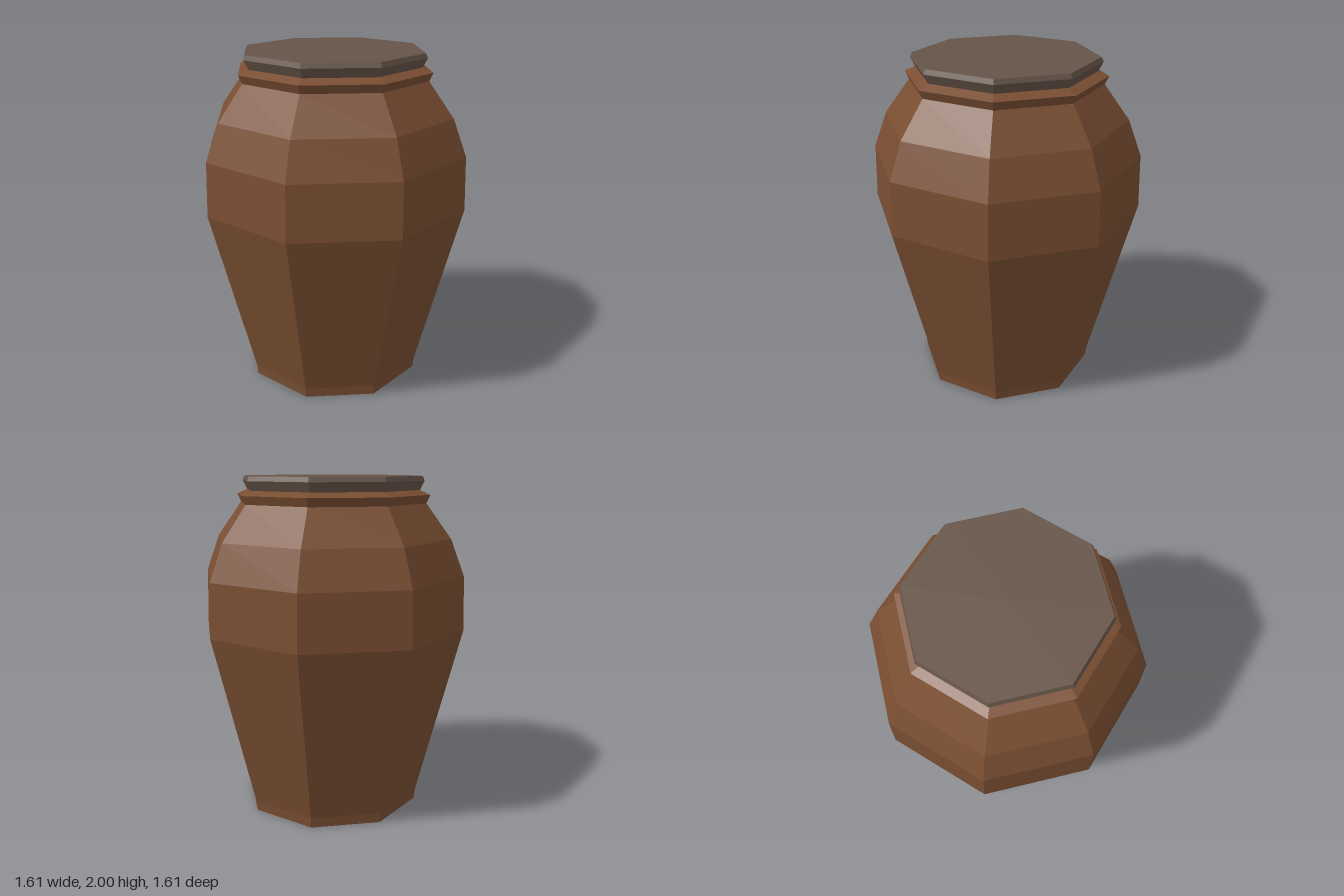
import * as THREE from 'three';

const SIDES = 8;

export function createModel() {
  const clay = new THREE.MeshStandardMaterial({ color: 0x7a4e32, flatShading: true });
  clay.name = 'brown clay';
  const stone = new THREE.MeshStandardMaterial({ color: 0x665448, flatShading: true });
  stone.name = 'grey lid';

  const jar = new THREE.Group();
  jar.name = 'jar';

  // Eight-sided turned part from [radius, height] pairs, corners on the axes
  const turned = (name, profile, material) => {
    const points = profile.map(([r, y]) => new THREE.Vector2(r, y));
    const mesh = new THREE.Mesh(new THREE.LatheGeometry(points, SIDES), material);
    mesh.name = name;
    jar.add(mesh);
  };

  // Closed foot, tapering belly and shoulder
  turned('body', [
    [0, 0], [0.535, 0], [0.542, 0.06], [0.806, 1.105],
    [0.796, 1.425], [0.715, 1.64], [0.565, 1.845],
  ], clay);

  // Flared rim around the mouth
  turned('rim', [[0.565, 1.845], [0.587, 1.893], [0.525, 1.92]], clay);

  // Lid with a bevelled edge and flat top
  turned('lid', [[0.525, 1.92], [0.552, 1.973], [0.54, 2], [0, 2]], stone);

  return jar;
}
